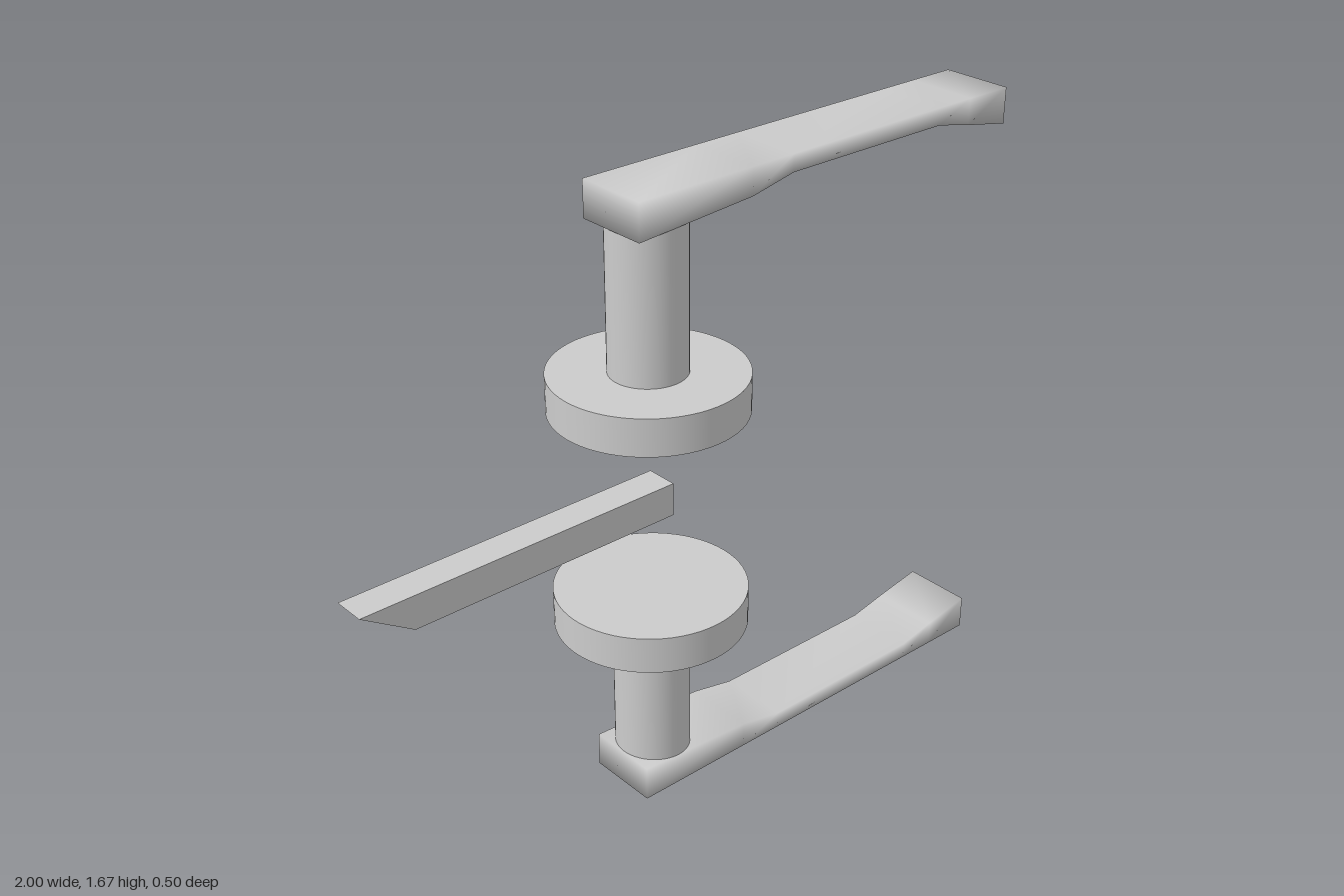
import * as THREE from 'three';
import { mergeVertices } from 'three/addons/utils/BufferGeometryUtils.js';

const MID_Y = 0.835; // plane between the two mirrored handles
const AXIS_X = -0.13; // shared axis of plate and neck

const material = new THREE.MeshStandardMaterial({ color: 0xcccccc });

function part(name, geometry, x = 0, y = 0, z = 0) {
  const mesh = new THREE.Mesh(geometry, material);
  mesh.name = name;
  mesh.position.set(x, y, z);
  return mesh;
}

// Lever bar: flat outer face, inner face thinned along the grip
function leverGeometry() {
  // [x, thickness] stations along the bar
  const stations = [[-0.235, 0.097], [0.11, 0.073], [0.24, 0.046], [0.75, 0.046], [0.86, 0.07], [1, 0.097]];
  const last = stations.length - 1;
  const geometry = new THREE.BoxGeometry(last, 1, 0.2, last, 1, 1);
  const pos = geometry.attributes.position;
  for (let i = 0; i < pos.count; i++) {
    const [x, thickness] = stations[Math.round(pos.getX(i) + last / 2)];
    pos.setX(i, x);
    pos.setY(i, pos.getY(i) > 0 ? 0 : -thickness);
  }
  // Shared corners give the bar its soft shading
  geometry.deleteAttribute('normal');
  geometry.deleteAttribute('uv');
  const smooth = mergeVertices(geometry);
  smooth.computeVertexNormals();
  return smooth;
}

// One handle, built outward (+y) from the middle plane
function createHandle(name) {
  const handle = new THREE.Group();
  handle.name = name;
  handle.add(
    part('plate', new THREE.CylinderGeometry(0.25, 0.25, 0.1, 64), AXIS_X, 0.303),
    part('neck', new THREE.CylinderGeometry(0.1, 0.1, 0.41, 48), AXIS_X, 0.553),
    part('lever', leverGeometry(), 0, MID_Y)
  );
  handle.position.y = MID_Y;
  return handle;
}

// Square spindle with a slanted tip
function createSpindle() {
  const shape = new THREE.Shape([
    new THREE.Vector2(-1, 0.045),
    new THREE.Vector2(-0.86, -0.045),
    new THREE.Vector2(-0.09, -0.045),
    new THREE.Vector2(-0.09, 0.045),
  ]);
  const depth = 0.088;
  const geometry = new THREE.ExtrudeGeometry(shape, { depth, bevelEnabled: false });
  return part('spindle', geometry, 0, MID_Y, -depth / 2);
}

export function createModel() {
  const model = new THREE.Group();
  model.name = 'doorHandleSet';
  const lower = createHandle('lowerHandle');
  lower.rotation.x = Math.PI; // the handle is symmetric in z, so turning mirrors it
  model.add(createHandle('upperHandle'), lower, createSpindle());
  return model;
}
